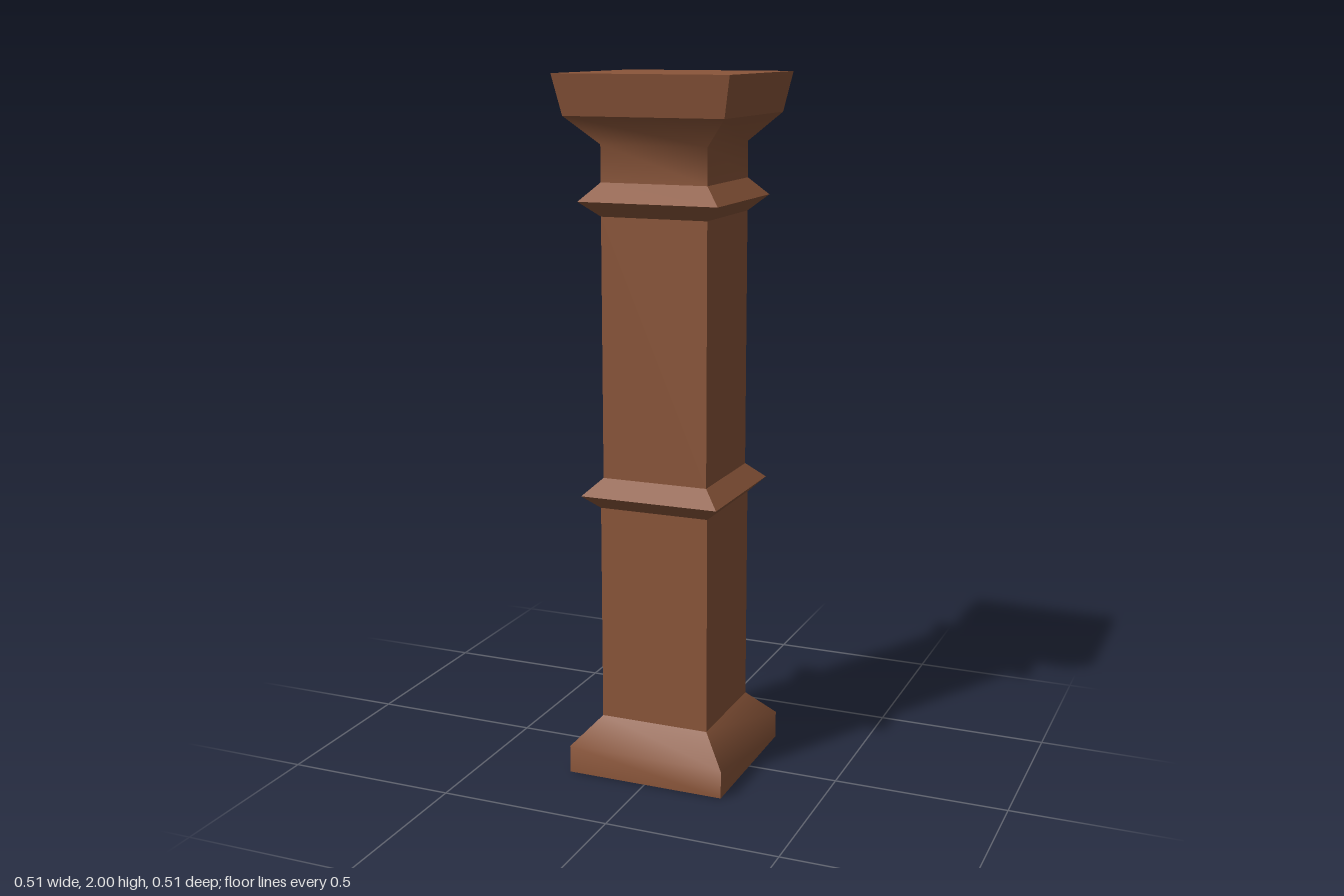
import * as THREE from 'three';
import { toCreasedNormals } from 'three/addons/utils/BufferGeometryUtils.js';

// Square solid from a profile of [half width, height], bottom to top
function squareLoft(profile, crease) {
  const points = profile.map(([w, y]) => new THREE.Vector2(w * Math.SQRT2, y));
  const geometry = new THREE.LatheGeometry(points, 4, Math.PI / 4);
  return toCreasedNormals(geometry, crease);
}

export function createModel() {
  const group = new THREE.Group();
  group.name = 'column';
  const wood = new THREE.MeshStandardMaterial({ color: 0x8b563a });
  wood.name = 'brown wood';

  const SHARP = 0.1;
  const SOFT = 0.9; // blends 45 degree bevels, keeps corners sharp

  function add(name, profile, crease = SHARP) {
    const mesh = new THREE.Mesh(squareLoft(profile, crease), wood);
    mesh.name = name;
    group.add(mesh);
  }

  // Plinth with bevelled shoulder
  add('base', [[0, 0], [0.235, 0], [0.235, 0.08], [0.162, 0.16]], SOFT);

  // Shaft, slightly narrower above the middle ring
  add('lowerShaft', [[0.162, 0.16], [0.162, 0.79]]);
  add('upperShaft', [[0.156, 0.877], [0.156, 1.615]]);

  // Projecting rings
  add('middleRing', [[0.162, 0.79], [0.204, 0.83], [0.156, 0.877]]);
  add('upperRing', [[0.156, 1.615], [0.204, 1.658], [0.156, 1.708]]);

  // Neck flaring out under the crown
  add('neck', [[0.156, 1.708], [0.156, 1.81], [0.232, 1.888]], SOFT);

  // Crown block with flat top
  add('crown', [[0.232, 1.888], [0.254, 2], [0, 2]]);

  return group;
}
